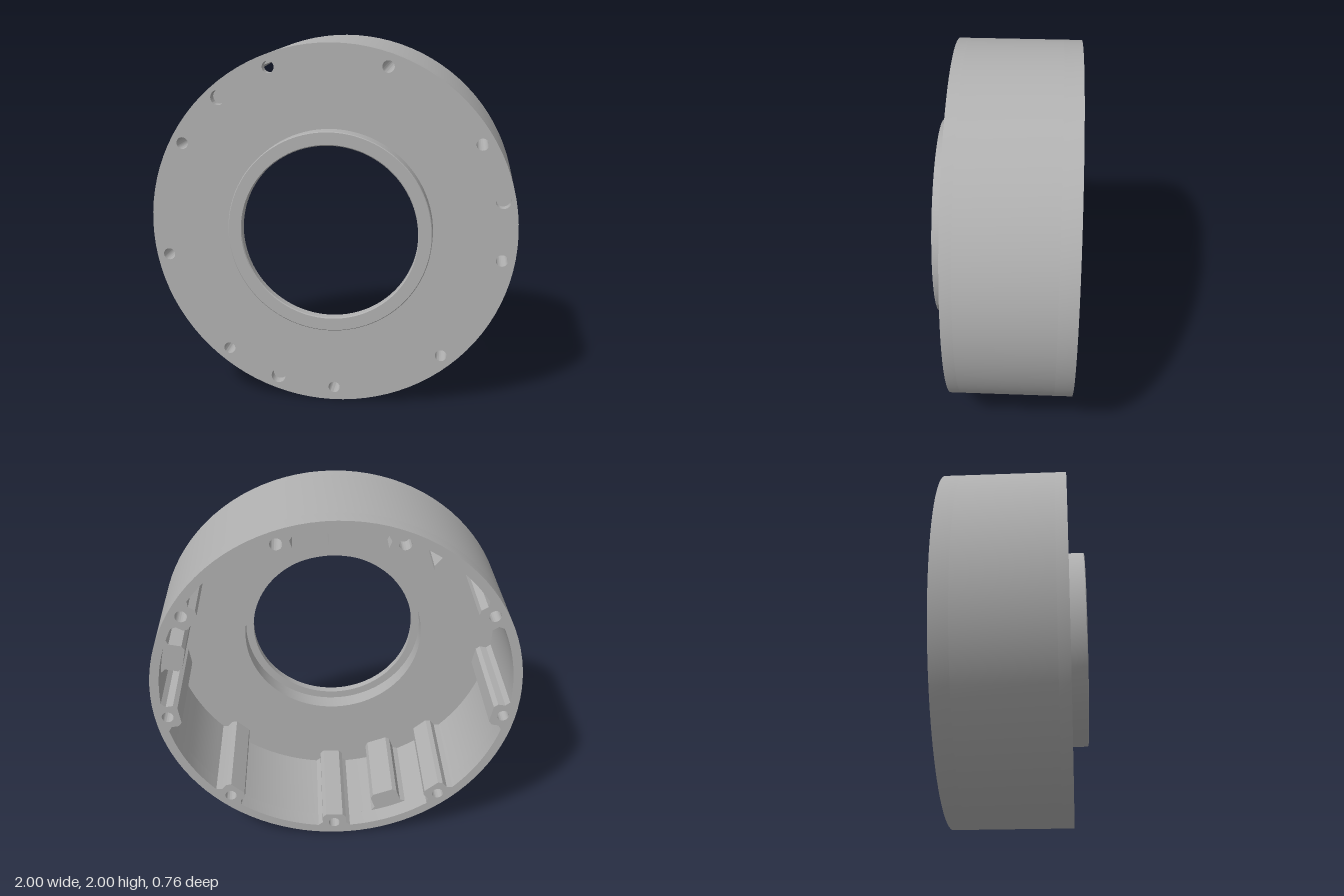
import * as THREE from 'three';
import { toCreasedNormals } from 'three/addons/utils/BufferGeometryUtils.js';

const OUTER = 1, WALL = 0.95;
const Z_BACK = -0.38, Z_LIP = -0.28, Z_FLOOR = 0.23, Z_FRONT = 0.29, Z_BOSS = 0.38;

// Screw holes around the rim; the second one has only a short lug
const screws = [[0.3, 0.88], [-0.335, 0.87], [-0.815, 0.455], [-0.915, -0.175], [-0.585, -0.72],
  [0.015, -0.925], [0.61, -0.7], [0.92, -0.14], [0.795, 0.485]];
// Blind locating pin holes in the front face
const pins = [[-0.61, 0.705], [-0.305, -0.875], [0.915, 0.185]];
const topRib = [-0.04, 0.93];

const angleOf = ([x, y]) => (Math.atan2(y, x) + Math.PI * 2) % (Math.PI * 2);

function circle(x, y, r) {
  const p = new THREE.Path();
  p.absarc(x, y, r, 0, Math.PI * 2, true);
  return p;
}

function disc() {
  const s = new THREE.Shape();
  s.absarc(0, 0, OUTER, 0, Math.PI * 2, false);
  return s;
}

// Inner wall outline with inward lugs, each given as { a: angle, tip: radius, half: half width }
function innerOutline(lugs) {
  const pts = [];
  const sorted = [...lugs].sort((p, q) => p.a - q.a);
  sorted.forEach(({ a, tip, half }, i) => {
    const side = [[half + 0.025, Math.sqrt(WALL ** 2 - (half + 0.025) ** 2)], [half, 0.925],
      [half, tip + 0.02], [half - 0.02, tip]];
    const profile = [...side.map(([t, r]) => [-t, r]), ...side.reverse()];
    for (const [t, r] of profile) {
      pts.push(new THREE.Vector2(r * Math.cos(a) - t * Math.sin(a), r * Math.sin(a) + t * Math.cos(a)));
    }
    // Plain wall arc up to the next lug
    const next = sorted[(i + 1) % sorted.length];
    const from = a + Math.asin((half + 0.025) / WALL);
    let to = next.a - Math.asin((next.half + 0.025) / WALL);
    if (i === sorted.length - 1) to += Math.PI * 2;
    const n = Math.max(2, Math.ceil((to - from) / 0.05));
    for (let k = 1; k < n; k++) {
      const t = from + (to - from) * k / n;
      pts.push(new THREE.Vector2(WALL * Math.cos(t), WALL * Math.sin(t)));
    }
  });
  return new THREE.Path(pts);
}

export function createModel() {
  const grey = new THREE.MeshStandardMaterial({ color: 0xb0b0b0 });
  grey.name = 'housing grey';
  const group = new THREE.Group();
  group.name = 'ringHousing';

  const add = (name, geometry) => {
    const mesh = new THREE.Mesh(toCreasedNormals(geometry, 0.5), grey);
    mesh.name = name;
    mesh.position.y = 1;
    group.add(mesh);
  };
  const slab = (name, shape, z0, z1) => {
    const g = new THREE.ExtrudeGeometry(shape, { depth: z1 - z0, bevelEnabled: false, curveSegments: 48 });
    add(name, g.translate(0, 0, z0));
  };

  const screwLug = (p) => ({ a: angleOf(p), tip: 0.865, half: 0.068 });
  const bigLug = (p) => ({ a: angleOf(p), tip: 0.835, half: 0.08 });
  const longScrews = screws.filter((_, i) => i !== 1);

  // Rear rim with a lug at each screw
  const rim = disc();
  rim.holes.push(innerOutline([...screws.map(screwLug), bigLug(topRib)]));
  screws.forEach(([x, y]) => rim.holes.push(circle(x, y, 0.032)));
  slab('rearRim', rim, Z_BACK, Z_LIP);

  // Side wall with long ribs behind the screws and pins
  const wall = disc();
  wall.holes.push(innerOutline([...longScrews.map(screwLug), ...pins.map(bigLug), bigLug(topRib)]));
  longScrews.forEach(([x, y]) => wall.holes.push(circle(x, y, 0.032)));
  slab('ribbedWall', wall, Z_LIP, Z_FLOOR);

  // Front plate
  const plate = disc();
  plate.holes.push(circle(0, 0, 0.52));
  screws.forEach(([x, y]) => plate.holes.push(circle(x, y, 0.032)));
  pins.forEach(([x, y]) => plate.holes.push(circle(x, y, 0.04)));
  slab('frontPlate', plate, Z_FLOOR, Z_FRONT);

  // Raised collar with a stepped bore
  const collar = [[0.55, Z_FRONT], [0.55, Z_BOSS - 0.004], [0.546, Z_BOSS], [0.48, Z_BOSS],
    [0.475, Z_BOSS - 0.005], [0.475, 0.33], [0.52, 0.33], [0.52, Z_FLOOR]];
  add('boreCollar', new THREE.LatheGeometry(collar.map(([r, z]) => new THREE.Vector2(r, z)), 96)
    .rotateX(Math.PI / 2));

  return group;
}
